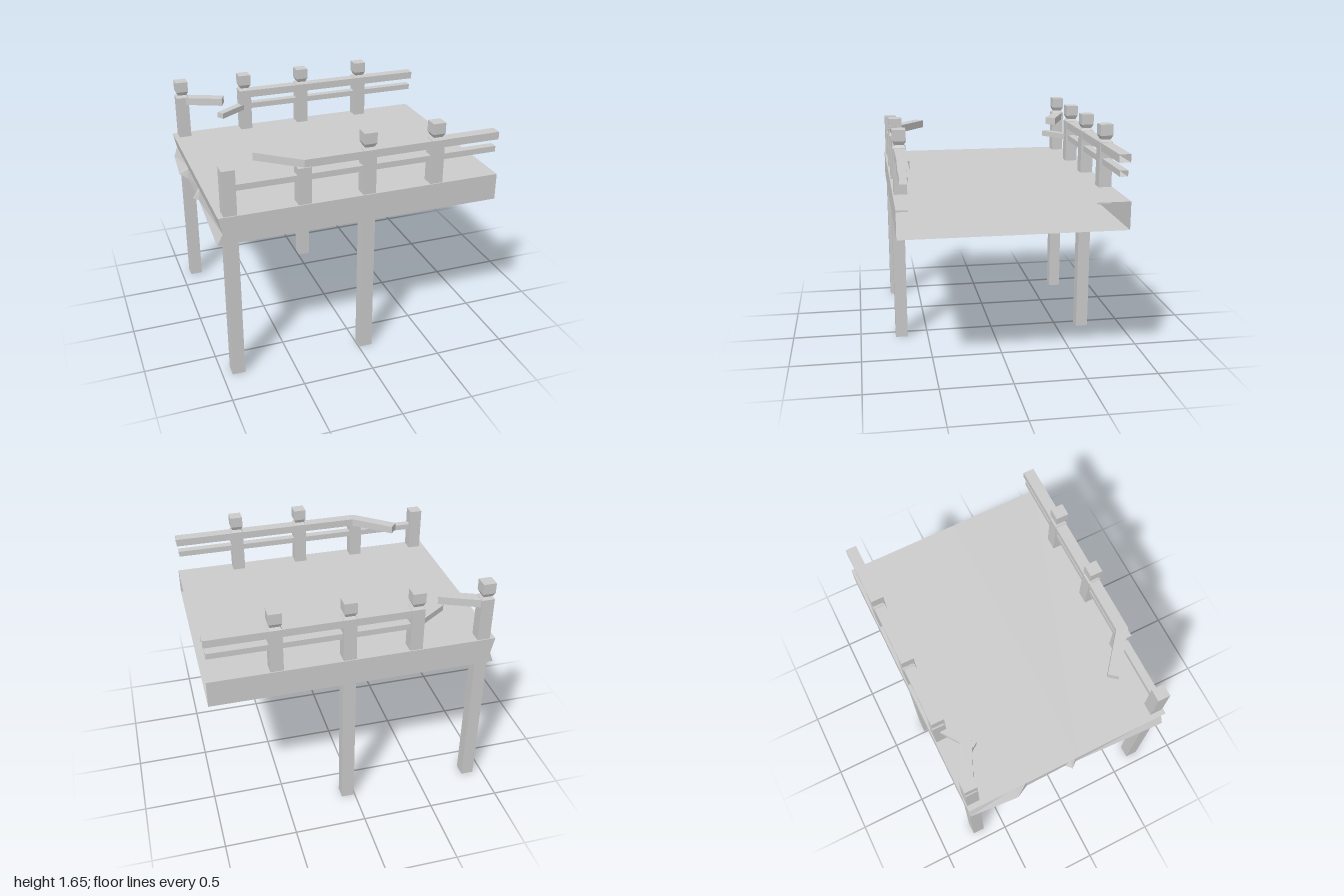
import * as THREE from 'three';

const material = new THREE.MeshStandardMaterial({
  color: 0xcccccc, flatShading: true, side: THREE.DoubleSide,
});

// Skin a list of equal cross-sections; rings run counter-clockwise seen from the start.
function loft(sections, closed, capStart, capEnd) {
  const n = sections[0].length;
  const pos = [];
  const tri = (a, b, c) => pos.push(...a, ...b, ...c);
  for (let s = 0; s < sections.length - 1; s++) {
    const A = sections[s], B = sections[s + 1];
    for (let i = 0; i < (closed ? n : n - 1); i++) {
      const j = (i + 1) % n;
      tri(A[i], B[i], B[j]);
      tri(A[i], B[j], A[j]);
    }
  }
  // end caps fan out from corner 2, which sees every other corner
  for (let k = 1; k < n - 1; k++) {
    const a = (2 + k) % n, b = (3 + k) % n;
    const S = sections[0], E = sections[sections.length - 1];
    if (capStart) tri(S[2], S[a], S[b]);
    if (capEnd) tri(E[2], E[b], E[a]);
  }
  const g = new THREE.BufferGeometry();
  g.setAttribute('position', new THREE.Float32BufferAttribute(pos, 3));
  g.computeVertexNormals();
  return g;
}

// Hollow rail along [x, z] points, mitred at bends, closed at its first end only.
function railGeometry(path, y0, y1, width) {
  const pts = path.map(([x, z]) => new THREE.Vector2(x, z));
  const side = (a, b) => {
    const d = b.clone().sub(a).normalize();
    return new THREE.Vector2(-d.y, d.x);
  };
  const sections = pts.map((p, i) => {
    const before = side(pts[Math.max(i - 1, 0)], pts[Math.max(i, 1)]);
    const last = pts.length - 1;
    const after = side(pts[Math.min(i, last - 1)], pts[Math.min(i + 1, last)]);
    const m = before.clone().add(after).normalize();
    m.multiplyScalar(width / 2 / m.dot(before));
    return [
      [p.x + m.x, y0, p.y + m.y], [p.x + m.x, y1, p.y + m.y],
      [p.x - m.x, y1, p.y - m.y], [p.x - m.x, y0, p.y - m.y],
    ];
  });
  return loft(sections, true, true, false);
}

// Square post, open underneath, optionally with a necked cap.
function postGeometry(bottom, top, capped) {
  const h = 0.0445;
  const profile = [[h, bottom], [h, top]];
  if (capped) profile.push([0.031, 1.548], [h, 1.575], [h, 1.65]);
  profile.push([0, profile[profile.length - 1][1]]);
  return new THREE.LatheGeometry(
    profile.map(([r, y]) => new THREE.Vector2(r * Math.SQRT2, y)), 4, Math.PI / 4);
}

export function createModel() {
  const model = new THREE.Group();
  model.name = 'pierSection';
  const add = (name, geometry, x = 0, z = 0) => {
    const mesh = new THREE.Mesh(geometry, material);
    mesh.name = name;
    mesh.position.set(x, 0, z);
    model.add(mesh);
  };

  // Hollow deck, open at +x, with a notched and splintered end at -x: [z, lower lip x]
  const lip = [[-0.752, -0.972], [-0.4, -1], [-0.31, -0.955], [-0.01, -0.95],
    [0.03, -0.99], [0.07, -0.955], [0.748, -0.985]];
  add('deck', loft(lip.map(([z, x]) => [
    [1, 1.03, z], [x, 1.03, z], [-0.945, 1.105, z], [-0.97, 1.22, z], [1, 1.22, z],
  ]), false, true, true));

  // Posts; the first and third on each side carry on down as legs
  const back = -0.7, front = 0.695;
  for (const z of [back, front]) {
    [-0.888, -0.405, 0.053, 0.54].forEach((x, i) => {
      const broken = z === front && i < 2;
      const top = broken && i === 1 ? 1.475 : 1.53;
      const isLeg = i % 2 === 0;
      const px = broken && i === 1 ? -0.393 : x;
      add(isLeg ? 'legPost' : 'railPost',
        postGeometry(isLeg ? 0 : 1.1, top, !broken), px, z);
    });
  }

  // Upper rails
  const upper = (name, path) => add(name, railGeometry(path, 1.473, 1.527, 0.078));
  upper('frontUpperRail', [[-0.645, 0.477], [-0.38, 0.692], [0.997, 0.692]]);
  upper('backUpperRail', [[-0.405, back], [0.997, back]]);
  upper('backUpperStub', [[-0.6, -0.582], [-0.87, back]]);

  // Lower rails
  const lower = (name, path) => add(name, railGeometry(path, 1.38, 1.421, 0.055));
  lower('frontLowerRail', [[-0.888, 0.692], [0.985, 0.692]]);
  lower('backLowerRail', [[-0.635, -0.54], [-0.405, back], [0.985, back]]);

  return model;
}
